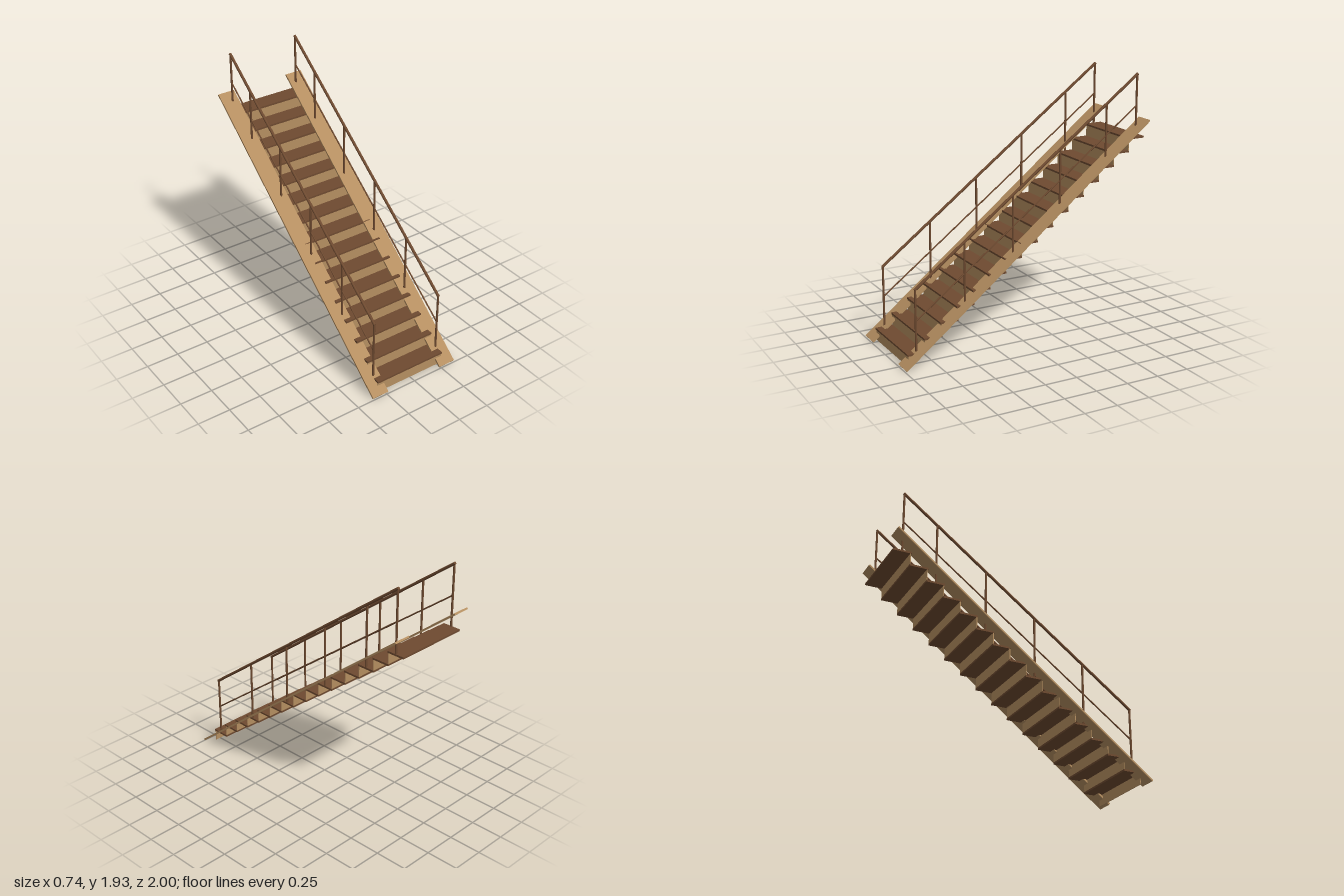
import * as THREE from 'three';

const tan = new THREE.MeshStandardMaterial({ color: 0xb48e60 });
tan.name = 'lightWood';
const brown = new THREE.MeshStandardMaterial({ color: 0x6e4a30 });
brown.name = 'darkWood';

const STEPS = 15, RISE = 0.0971, RUN = 0.1293;
const FRONT_Z = 0.95, FIRST_Y = 0.095, TREAD_DEPTH = 0.14, TREAD_THICK = 0.014;
const STEP_WIDTH = 0.584, RAIL_X = 0.285;

function box(name, material, w, h, d, x, y, z) {
  const mesh = new THREE.Mesh(new THREE.BoxGeometry(w, h, d), material);
  mesh.name = name;
  mesh.position.set(x, y, z);
  return mesh;
}

// Round bar between two points given as [y, z], in the plane of one railing
function bar(name, radius, x, from, to) {
  const a = new THREE.Vector3(x, ...from), b = new THREE.Vector3(x, ...to);
  const dir = b.clone().sub(a);
  const mesh = new THREE.Mesh(new THREE.CylinderGeometry(radius, radius, dir.length(), 12), brown);
  mesh.name = name;
  mesh.position.copy(a).add(b).multiplyScalar(0.5);
  mesh.quaternion.setFromUnitVectors(new THREE.Vector3(0, 1, 0), dir.normalize());
  return mesh;
}

function createSteps() {
  const steps = new THREE.Group();
  steps.name = 'steps';
  for (let i = 0; i < STEPS; i++) {
    const top = FIRST_Y + i * RISE, front = FRONT_Z - i * RUN;
    steps.add(box('tread', brown, STEP_WIDTH, TREAD_THICK, TREAD_DEPTH,
      0, top - TREAD_THICK / 2, front - TREAD_DEPTH / 2));
    // Riser closes the gap down to the tread below, or to the ground
    const low = i ? top - RISE - TREAD_THICK / 2 : 0;
    const high = top - TREAD_THICK;
    steps.add(box('riser', tan, STEP_WIDTH - 0.004, high - low, 0.005,
      0, (low + high) / 2, front - 0.0075));
  }
  return steps;
}

function createSide(side) {
  const group = new THREE.Group();
  group.name = side > 0 ? 'leftSide' : 'rightSide';

  // Flat sloping board
  const board = box('stringer', tan, 0.135, 0.014, Math.hypot(1.99, 1.575), side * 0.3025, 0.798, 0);
  board.rotation.x = Math.atan2(1.575, 1.99);
  group.add(board);

  // Railing
  const x = side * RAIL_X;
  const railY = z => 0.565 + (0.88 - z) * 0.749;
  for (const z of [0.88, 0.495, 0.107, -0.281, -0.669, -0.93]) {
    const top = railY(z);
    group.add(bar('post', 0.008, x, [top - 0.465, z], [top, z]));
  }
  group.add(bar('handrail', 0.0105, x, [railY(0.885), 0.885], [railY(-0.935), -0.935]));
  group.add(bar('middleRail', 0.0055, x, [railY(0.88) - 0.233, 0.88], [railY(-0.93) - 0.233, -0.93]));
  return group;
}

export function createModel() {
  const model = new THREE.Group();
  model.name = 'staircase';
  model.add(createSteps(), createSide(1), createSide(-1));
  return model;
}
